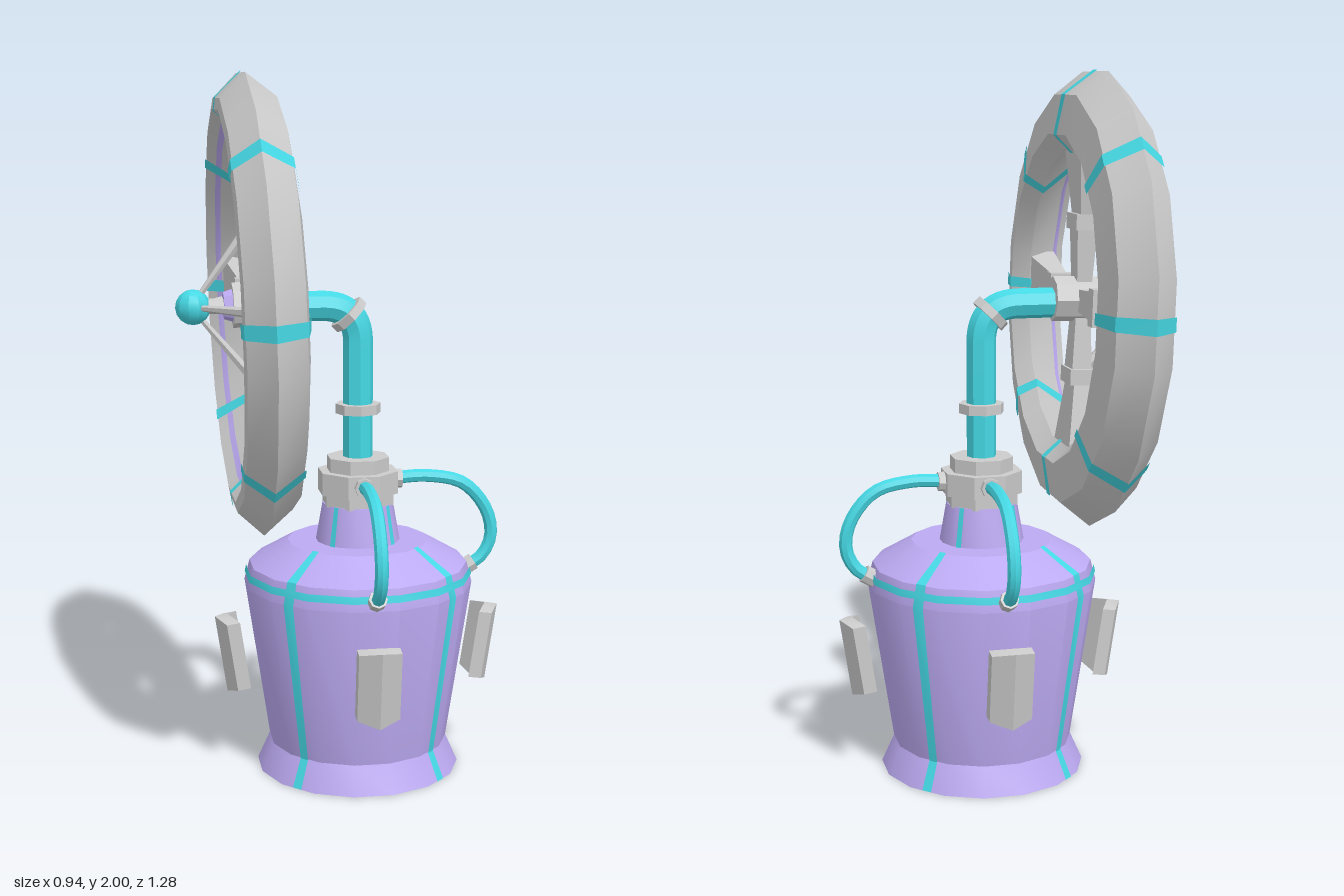
import * as THREE from 'three';
import { toCreasedNormals } from 'three/addons/utils/BufferGeometryUtils.js';

const grey = new THREE.MeshStandardMaterial({ color: 0xcccccc });
const violet = new THREE.MeshStandardMaterial({ color: 0xbcaaf2 });
const cyan = new THREE.MeshStandardMaterial({ color: 0x45d8e4 });
const SIDES = 16;

function add(parent, name, geometry, material, x = 0, y = 0, z = 0) {
  const mesh = new THREE.Mesh(toCreasedNormals(geometry, 0.5), material);
  mesh.name = name;
  mesh.position.set(x, y, z);
  parent.add(mesh);
  return mesh;
}

function group(parent, name, x = 0, y = 0, z = 0) {
  const g = new THREE.Group();
  g.name = name;
  g.position.set(x, y, z);
  parent.add(g);
  return g;
}

// Faceted revolve; profile radii are measured to the middle of each flat.
function turned(profile) {
  const k = 1 / Math.cos(Math.PI / SIDES);
  const pts = profile.map(([r, y]) => new THREE.Vector2(r * k, y));
  return new THREE.LatheGeometry(pts, SIDES, Math.PI / SIDES);
}

// Narrow inlay that follows a profile, lifted slightly off the surface.
function inlay(profile, angle, halfAngle, closed) {
  const n = profile.length;
  const pts = profile.map(([r, y], i) => {
    const a = profile[i > 0 ? i - 1 : closed ? n - 2 : 0];
    const b = profile[i < n - 1 ? i + 1 : closed ? 1 : n - 1];
    const dr = b[0] - a[0], dy = b[1] - a[1], len = Math.hypot(dr, dy);
    return new THREE.Vector2(r + 0.005 * dy / len, y - 0.005 * dr / len);
  });
  return new THREE.LatheGeometry(pts, 1, angle - halfAngle, 2 * halfAngle);
}

// Round bar between two points.
function bar(a, b, ra, rb, sides) {
  const from = new THREE.Vector3(...a), to = new THREE.Vector3(...b);
  const dir = to.clone().sub(from);
  const geo = new THREE.CylinderGeometry(rb, ra, dir.length(), sides);
  geo.applyQuaternion(new THREE.Quaternion().setFromUnitVectors(
    new THREE.Vector3(0, 1, 0), dir.normalize()));
  const mid = from.add(to).multiplyScalar(0.5);
  return geo.translate(mid.x, mid.y, mid.z);
}

function addTank(parent) {
  const tank = group(parent, 'tank');
  const wall = [[0.29, 0], [0.255, 0.08], [0.325, 0.55], [0.31, 0.61], [0.2, 0.675]];
  const neck = [[0.12, 0.67], [0.1, 0.785]];
  add(tank, 'tankBody', turned([[0, 0], ...wall, [0, 0.675]]), violet);
  add(tank, 'tankNeck', turned([...neck, [0, 0.785]]), violet);
  add(tank, 'shoulderBand', turned([[0.324, 0.573], [0.32, 0.593]]), cyan);
  for (let i = 0; i < 4; i++) {
    const a = Math.PI / 4 + i * Math.PI / 2;
    add(tank, 'tankStripe', inlay(wall, a, 0.05), cyan);
    add(tank, 'neckStripe', inlay(neck, a, 0.07), cyan);
  }

  // Chevron plates standing off the four sides
  for (let i = 0; i < 4; i++) {
    const holder = group(tank, 'sidePlateHolder');
    holder.rotation.y = i * Math.PI / 2;
    const geo = new THREE.BoxGeometry(0.12, 0.2, 0.038, 2, 1, 1);
    const p = geo.attributes.position;
    for (let v = 0; v < p.count; v++) {
      if (Math.abs(p.getX(v)) > 0.01) continue;
      p.setY(v, p.getY(v) * 1.15);
      p.setZ(v, p.getZ(v) + 0.028);
    }
    add(holder, 'sidePlate', geo, grey, 0, 0.352, 0.355).rotation.x = 0.15;
  }
}

function addCollarAndHoses(parent) {
  const collar = group(parent, 'collar');
  for (const [r, y0, y1] of [[0.105, 0.78, 0.815], [0.118, 0.815, 0.88], [0.092, 0.88, 0.92]])
    add(collar, 'collarRing', new THREE.CylinderGeometry(r, r, y1 - y0, 8)
      .rotateY(Math.PI / 8), grey, 0, (y0 + y1) / 2, 0);

  // Hoses on the front, left and back
  const path = new THREE.CatmullRomCurve3([
    [0.09, 0.85], [0.2, 0.855], [0.31, 0.83], [0.38, 0.75], [0.396, 0.67], [0.37, 0.61], [0.32, 0.575],
  ].map(([r, y]) => new THREE.Vector3(0, y, r)));
  for (let i = 0; i < 3; i++) {
    const hose = group(parent, 'hose');
    hose.rotation.y = i * Math.PI / 2;
    add(hose, 'hoseTube', new THREE.TubeGeometry(path, 20, 0.019, 8), cyan);
    add(hose, 'upperFitting', bar([0, 0.85, 0.09], [0, 0.85, 0.128], 0.028, 0.028, 8), grey);
    add(hose, 'lowerFitting', bar([0, 0.568, 0.305], [0, 0.592, 0.345], 0.026, 0.026, 8), grey);
  }
}

function addPipe(parent) {
  const pipe = group(parent, 'elbowPipe');
  const V = (x, y) => new THREE.Vector3(x, y, 0);
  const path = new THREE.CurvePath();
  path.add(new THREE.LineCurve3(V(0, 0.9), V(0, 1.25)));
  path.add(new THREE.QuadraticBezierCurve3(V(0, 1.25), V(0, 1.355), V(-0.105, 1.355)));
  path.add(new THREE.LineCurve3(V(-0.105, 1.355), V(-0.25, 1.355)));
  add(pipe, 'pipeTube', new THREE.TubeGeometry(path, 48, 0.043, 8), cyan);
  add(pipe, 'pipeRing', new THREE.CylinderGeometry(0.065, 0.065, 0.028, 8), grey, 0, 1.06, 0);
  add(pipe, 'elbowRing', bar([-0.018, 1.32, 0], [-0.036, 1.338, 0], 0.058, 0.058, 8), grey);
}

function addWheel(parent) {
  const wheel = group(parent, 'wheel', -0.257, 1.363, 0);
  wheel.rotation.z = 0.032;
  // Rim: outer ridge, bevelled outside, dished inside
  const rim = [[0.415, 0.06], [0.54, -0.075], [0.57, -0.07], [0.637, 0],
    [0.57, 0.085], [0.46, 0.105], [0.415, 0.06]];
  const toX = (geo) => geo.rotateZ(-Math.PI / 2);
  add(wheel, 'rim', toX(turned(rim)), grey);
  add(wheel, 'innerRimBand', toX(turned([[0.497, -0.034], [0.511, -0.049]])), violet);
  for (let i = 0; i < 8; i++)
    add(wheel, 'rimStripe', toX(inlay(rim, i * Math.PI / 4, 0.034, true)), cyan);

  // Hub, axle and end ball
  add(wheel, 'hub', bar([-0.05, 0, 0], [0.1, 0, 0], 0.064, 0.064, 8), grey);
  add(wheel, 'hubCap', bar([-0.075, 0, 0], [-0.045, 0, 0], 0.038, 0.048, 8), violet);
  add(wheel, 'axle', bar([-0.16, 0, 0], [-0.05, 0, 0], 0.02, 0.024, 8), grey);
  add(wheel, 'endBall', new THREE.SphereGeometry(0.05, 10, 8), cyan, -0.16, 0, 0);

  // Four spokes, each with a clamp and a strut to the ball
  const taper = (inner, outer, length, depth) =>
    new THREE.CylinderGeometry(outer * Math.SQRT2, inner * Math.SQRT2, length, 4)
      .rotateY(Math.PI / 4).applyMatrix4(new THREE.Matrix4().makeScale(depth, 1, 1));
  for (let i = 0; i < 4; i++) {
    const spoke = group(wheel, 'spoke');
    spoke.rotation.x = i * Math.PI / 2;
    add(spoke, 'spokeBlade', taper(0.045, 0.092, 0.25, 0.5), grey, 0.015, 0.355, 0);
    add(spoke, 'spokeClamp', taper(0.052, 0.052, 0.045, 0.7), grey, 0.015, 0.22, 0);
    add(spoke, 'spokeRoot', taper(0.03, 0.042, 0.18, 0.7), grey, 0.015, 0.12, 0);
    add(spoke, 'strut', bar([-0.15, 0.02, 0], [0, 0.21, 0], 0.008, 0.016, 6), grey);
  }
}

export function createModel() {
  const model = new THREE.Group();
  model.name = 'model';
  const base = group(model, 'base', 0.05, 0, 0);
  addTank(base);
  addCollarAndHoses(base);
  addPipe(base);
  addWheel(model);
  return model;
}
